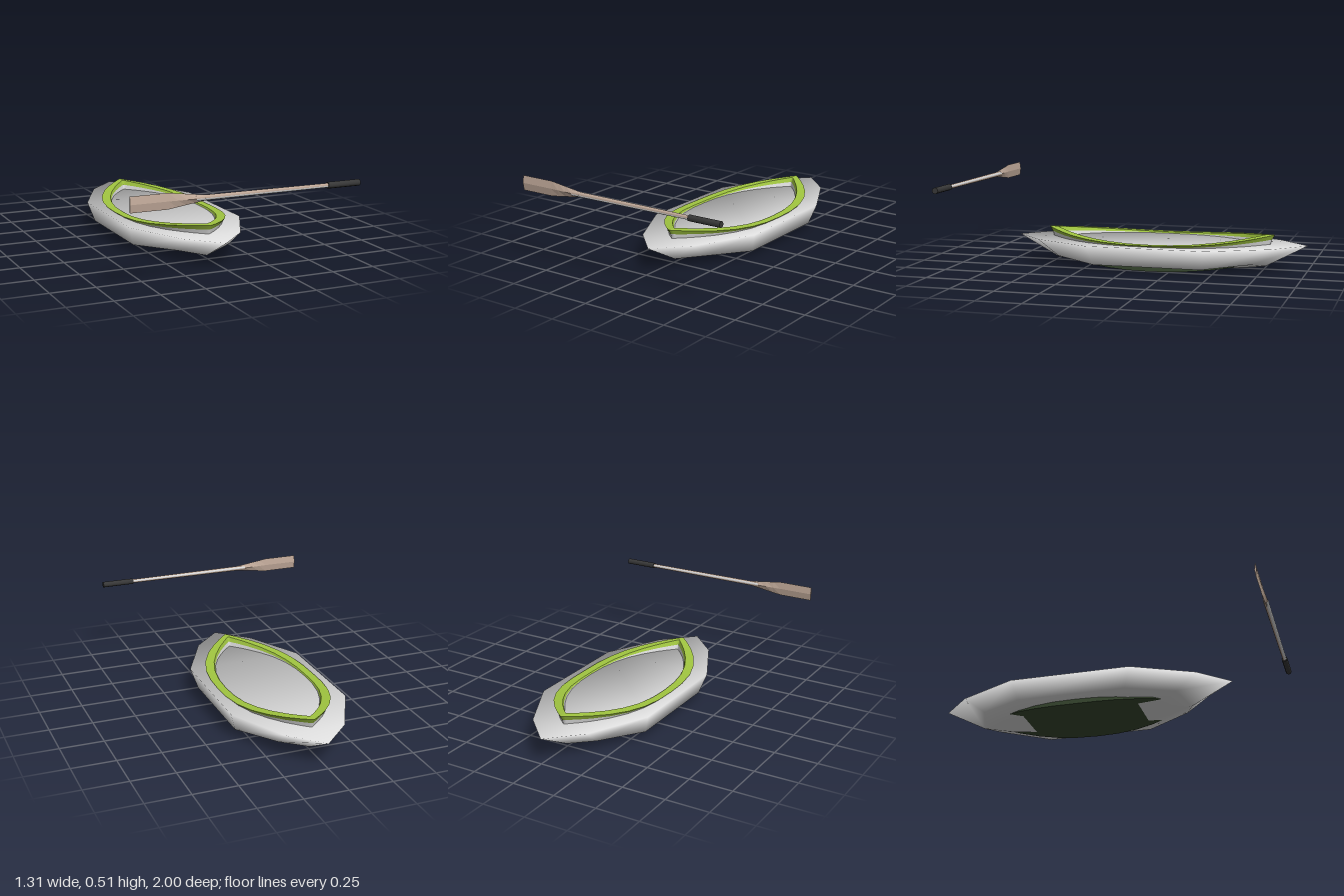
import * as THREE from 'three';

const mat = (name, color) => Object.assign(new THREE.MeshStandardMaterial({ color }), { name });

// Joins closed loops of points (listed from below upwards on the outside).
// Each band keeps its own corners, so the edges between bands stay sharp.
function loft(loops, { capTop = false, capBottom = false, shared = false } = {}) {
  const n = loops[0].length, pos = [], idx = [];
  const add = (loop) => {
    const start = pos.length / 3;
    loop.forEach((p) => pos.push(...p));
    return start;
  };
  const starts = shared ? loops.map(add) : null;
  for (let k = 0; k < loops.length - 1; k++) {
    const a = shared ? starts[k] : add(loops[k]);
    const b = shared ? starts[k + 1] : add(loops[k + 1]);
    for (let i = 0; i < n; i++) {
      const j = (i + 1) % n;
      idx.push(a + i, a + j, b + j, a + i, b + j, b + i);
    }
  }
  // Caps are strips running across the loop from one tip to the other
  const cap = (s, up) => {
    for (let i = 0; i < n / 2; i++) {
      const q = [i, i + 1, n - i - 1, (n - i) % n].map((v) => s + v);
      if (!up) q.reverse();
      idx.push(q[0], q[1], q[2], q[0], q[2], q[3]);
    }
  };
  if (capTop) cap(shared ? starts[loops.length - 1] : add(loops[loops.length - 1]), true);
  if (capBottom) cap(shared ? starts[0] : add(loops[0]), false);
  const g = new THREE.BufferGeometry();
  g.setAttribute('position', new THREE.Float32BufferAttribute(pos, 3));
  g.setIndex(idx);
  g.computeVertexNormals();
  return g;
}

// Ten-point boat outline from tip, shoulder and side points [x, y, z]
function hullLoop([tip, shoulder, side]) {
  const m = ([x, y, z], sx, sz) => [x * sx, y, z * sz];
  return [
    tip, shoulder, side, m(side, 1, -1), m(shoulder, 1, -1), m(tip, 1, -1),
    m(shoulder, -1, -1), m(side, -1, -1), m(side, -1, 1), m(shoulder, -1, 1),
  ];
}

// Pointed oval outline whose height rises towards the tips
function lensLoop(w, l, yMid, rise, fullness, half = 16) {
  const pts = [];
  for (let i = 0; i < half * 2; i++) {
    const t = Math.cos((i / half) * Math.PI);
    const s = i <= half ? 1 : -1;
    pts.push([s * w * (1 - Math.abs(t) ** fullness), yMid + rise * t * t, l * t]);
  }
  return pts;
}

export function createModel() {
  const model = new THREE.Group();
  const hullGrey = mat('hull grey', 0xdedede);
  const green = mat('rim green', 0xa1c640);
  const darkGreen = mat('dark green', 0x384830);
  const wood = mat('paddle wood', 0xc0a999);
  const black = mat('grip black', 0x383838);

  const boat = new THREE.Group();
  boat.name = 'boat';
  boat.position.z = -0.135;
  model.add(boat);
  const add = (parent, name, geo, material) => {
    const mesh = new THREE.Mesh(geo, material);
    mesh.name = name;
    parent.add(mesh);
  };

  // Closed hull with a flat deck, softly shaded over its edges
  const hull = loft([
    hullLoop([[0, 0.014, 0.6], [0.08, 0.014, 0.48], [0.14, 0.014, 0.3]]),
    hullLoop([[0, 0.017, 0.625], [0.16, 0.05, 0.57], [0.31, 0.034, 0.31]]),
    hullLoop([[0, 0.145, 0.865], [0.175, 0.145, 0.69], [0.345, 0.145, 0.345]]),
  ], { capTop: true, capBottom: true, shared: true });
  const p = hull.attributes.position, nor = hull.attributes.normal;
  for (let i = 20; i < 30; i++) {
    const v = new THREE.Vector3(p.getX(i) / 0.345, 0, p.getZ(i) / 0.865).normalize();
    v.multiplyScalar(0.85).setY(0.7).normalize();
    nor.setXYZ(i, v.x, v.y, v.z);
  }
  add(boat, 'hull', hull, hullGrey);

  // Cockpit rim, curving up towards bow and stern
  const rimBottom = lensLoop(0.288, 0.66, 0.146, 0.026, 2.75);
  const rimInner = lensLoop(0.245, 0.615, 0.146, 0.026, 2.5);
  add(boat, 'cockpitRim', loft([
    rimBottom,
    lensLoop(0.297, 0.677, 0.153, 0.047, 2.75),
    lensLoop(0.25, 0.627, 0.153, 0.047, 2.5),
    rimInner,
    rimBottom,
  ]), green);

  // Upstand between the deck and the rim
  add(boat, 'cockpitUpstand', loft([
    lensLoop(0.28, 0.65, 0.139, 0, 2.75),
    rimBottom,
    rimInner,
    lensLoop(0.243, 0.605, 0.139, 0, 2.5),
  ]), hullGrey);

  // Curved plate showing through the underside
  add(boat, 'bottomPlate', loft([
    lensLoop(0.25, 0.627, 0, 0.047, 2.5),
    lensLoop(0.25, 0.627, 0.032, 0.047, 2.5),
  ], { capTop: true, capBottom: true }), darkGreen);

  // Paddle lying along x
  const paddle = new THREE.Group();
  paddle.name = 'paddle';
  paddle.position.set(0, 0.47, 0.98);
  model.add(paddle);
  const rod = (name, x0, x1, r0, r1, material, sides = 8, open = false, start = 0) => {
    const arc = (sides * Math.PI) / 4;
    const g = new THREE.CylinderGeometry(r1, r0, x1 - x0, sides, 1, open, (start * Math.PI) / 4, arc);
    g.rotateZ(-Math.PI / 2).translate((x0 + x1) / 2, 0, 0);
    add(paddle, name, g, material);
  };

  // Eight-sided shaft with wood and grey strips: first side, number of sides
  [[0, 2, hullGrey], [2, 2, wood], [4, 1, hullGrey], [5, 3, wood]].forEach(([start, sides, m]) =>
    rod('shaftStrip', -0.3, 0.47, 0.015, 0.012, m, sides, true, start));
  rod('grip', 0.462, 0.655, 0.018, 0.018, black);

  // Flat diamond blade that narrows into the shaft
  const section = (x, h, d) => [[x, 0, d], [x, -h, 0], [x, 0, -d], [x, h, 0]];
  const sections = [section(-0.655, 0.042, 0.006)];
  for (let i = 0; i <= 4; i++) {
    const t = i / 4;
    sections.push(section(-0.45 + 0.2 * t, 0.042 - 0.027 * t, 0.006 + 0.009 * t));
  }
  const blade = loft(sections, { capTop: true, capBottom: true }).toNonIndexed();
  blade.computeVertexNormals();
  add(paddle, 'blade', blade, wood);
  return model;
}
